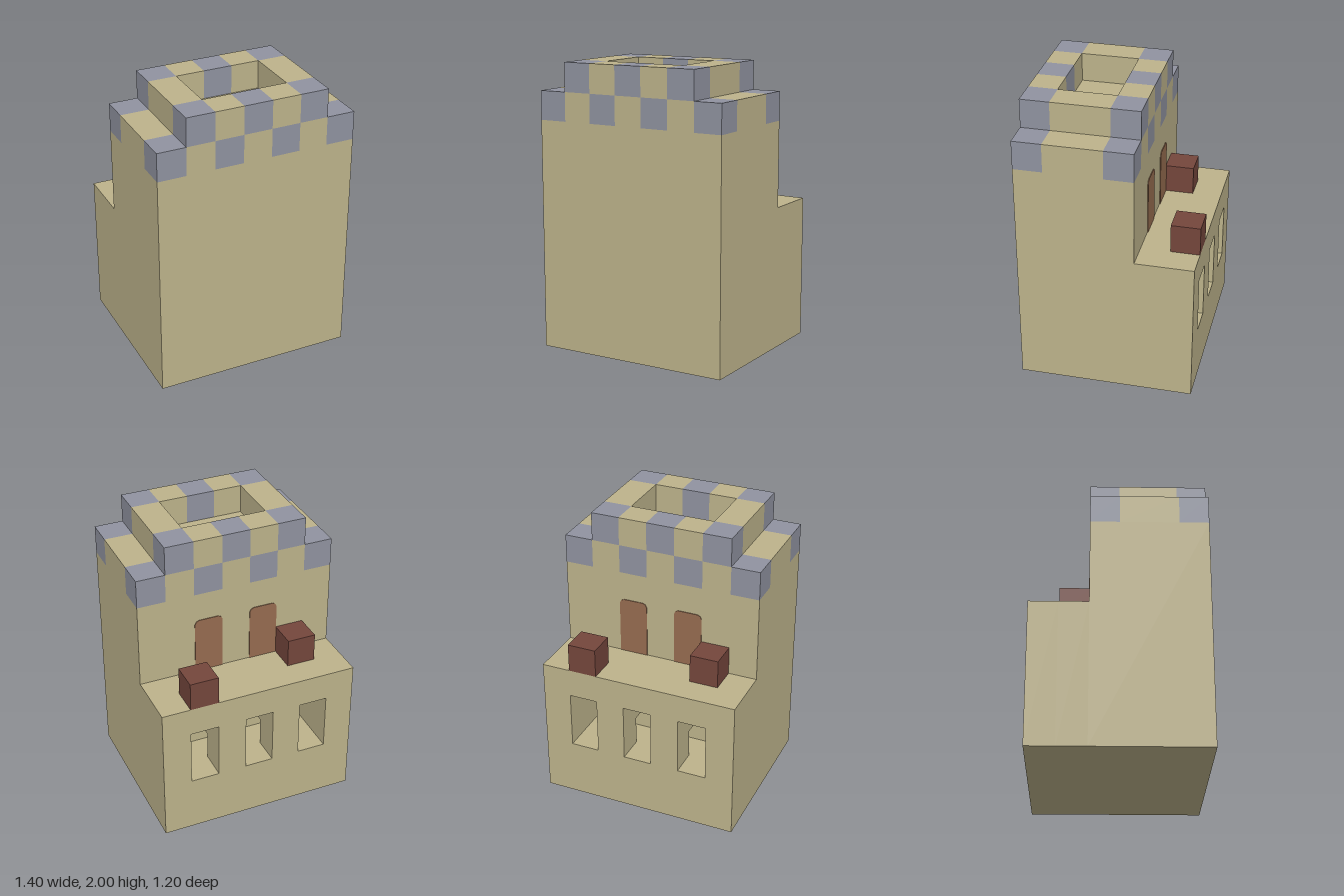
import * as THREE from 'three';

const paint = (name, color) => {
  const m = new THREE.MeshStandardMaterial({ color });
  m.name = name;
  return m;
};

export function createModel() {
  const sand = paint('sandstone', 0xbdb38b);
  const grey = paint('greyStone', 0x9093a0);
  const red = paint('redBrick', 0x74463c);
  const brown = paint('brownWood', 0x966c50);

  const model = new THREE.Group();
  model.name = 'tower';

  // box given by its min and max corners
  const box = (name, mat, [x0, y0, z0], [x1, y1, z1], parent = model) => {
    const mesh = new THREE.Mesh(new THREE.BoxGeometry(x1 - x0, y1 - y0, z1 - z0), mat);
    mesh.position.set((x0 + x1) / 2, (y0 + y1) / 2, (z0 + z1) / 2);
    mesh.name = name;
    parent.add(mesh);
  };
  // flat outline with holes, extruded along z
  const slab = (name, mat, outline, holes, z, depth) => {
    const points = (list) => list.map(([x, y]) => new THREE.Vector2(x, y));
    const shape = new THREE.Shape(points(outline));
    shape.holes = holes.map((h) => new THREE.Path(points(h)));
    const geo = new THREE.ExtrudeGeometry(shape, { depth, bevelEnabled: false });
    const mesh = new THREE.Mesh(geo, mat);
    mesh.position.z = z;
    mesh.name = name;
    model.add(mesh);
  };
  const rect = (x0, y0, x1, y1) => [[x0, y0], [x1, y0], [x1, y1], [x0, y1]];

  // main tower block
  box('towerBody', sand, [-0.7, 0, -0.2], [0.7, 1.6, 0.6]);

  // two chequered battlement courses, front and back
  const battlements = new THREE.Group();
  battlements.name = 'battlements';
  model.add(battlements);
  for (const [count, y] of [[7, 1.6], [5, 1.8]]) {
    for (const z of [-0.2, 0.4]) {
      for (let i = 0; i < count; i++) {
        const x = (i - count / 2) * 0.2;
        box(i % 2 ? 'sandBlock' : 'greyBlock', i % 2 ? sand : grey,
          [x, y, z], [x + 0.2, y + 0.2, z + 0.2], battlements);
      }
    }
  }
  box('roofFloor', sand, [-0.7, 1.6, 0], [0.7, 1.8, 0.4]);
  for (const x of [-0.5, 0.3]) box('sideParapet', sand, [x, 1.8, 0], [x + 0.2, 2, 0.4]);

  // terrace: window wall, then a layer with the passage linking the windows
  const wall = rect(-0.7, 0, 0.7, 1);
  slab('windowWall', sand, wall,
    [-0.4, 0, 0.4].map((x) => rect(x - 0.1, 0.4, x + 0.1, 0.8)), -0.6, 0.2);
  const passage = [
    [-0.5, 0.4], [0.5, 0.4], [0.5, 0.8], [0.3, 0.8], [0.3, 0.6], [0.1, 0.6],
    [0.1, 0.8], [-0.1, 0.8], [-0.1, 0.6], [-0.3, 0.6], [-0.3, 0.8], [-0.5, 0.8],
  ];
  slab('passageWall', sand, wall, [passage], -0.4, 0.2);

  // blocks standing on the terrace
  box('terraceBlock', red, [-0.5, 1, -0.4], [-0.3, 1.2, -0.2]);
  box('terraceBlock', red, [0.3, 1, -0.6], [0.5, 1.2, -0.4]);

  // doors onto the terrace, with softened top corners
  for (const x of [-0.2, 0.2]) {
    slab('door', brown, [
      [x - 0.1, 1], [x + 0.1, 1], [x + 0.1, 1.37], [x + 0.09, 1.39], [x + 0.07, 1.4],
      [x - 0.07, 1.4], [x - 0.09, 1.39], [x - 0.1, 1.37],
    ], [], -0.205, 0.005);
  }
  return model;
}
